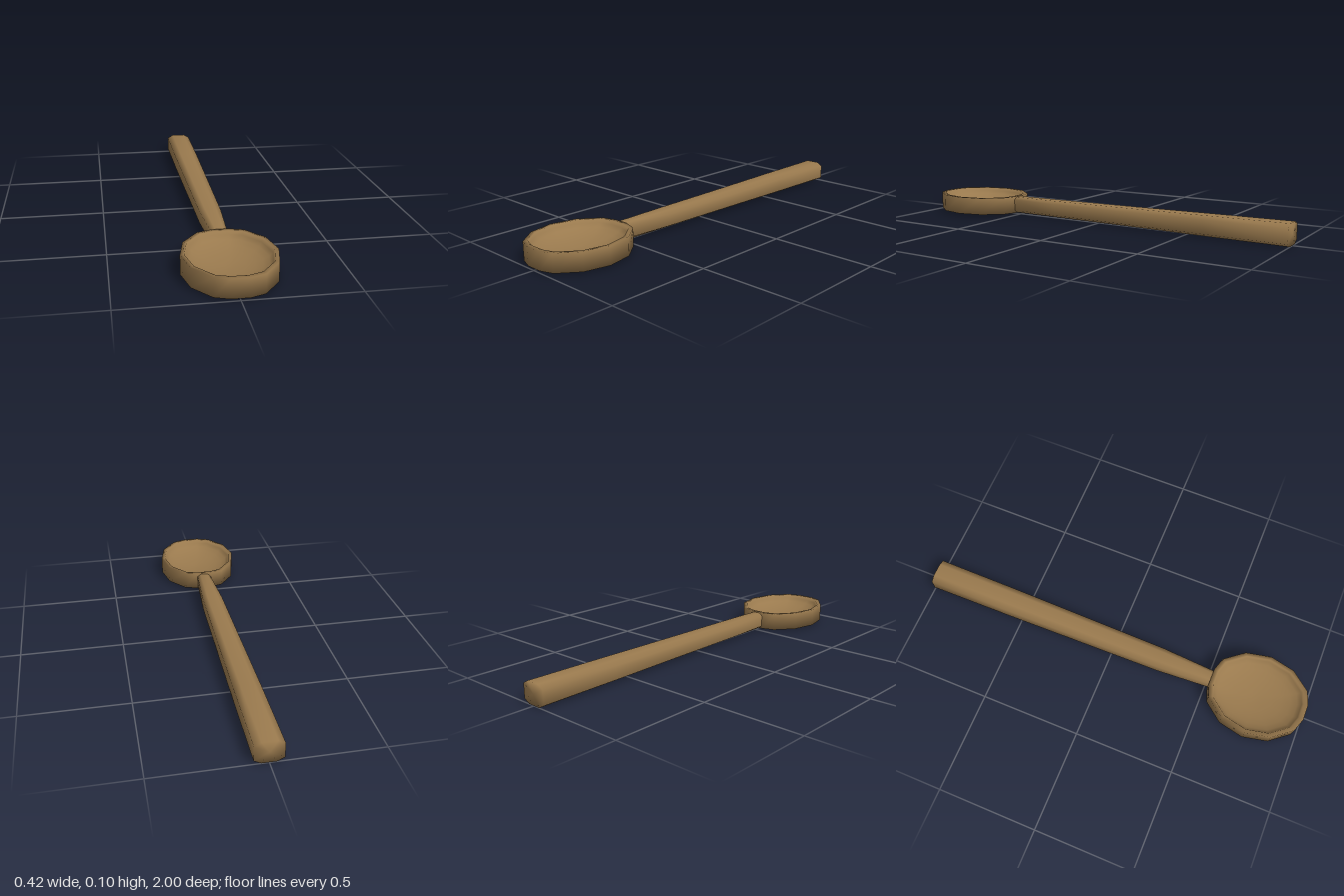
import * as THREE from 'three';

// Smooth closed skin through a list of equal-length rings, capped at both ends.
function loft(rings) {
  const n = rings[0].length, index = [];
  const points = rings.flat();
  const centre = ring => ring.reduce((s, p) => s.add(p), new THREE.Vector3()).divideScalar(n);
  for (let i = 0; i < rings.length - 1; i++) {
    for (let j = 0; j < n; j++) {
      const k = (j + 1) % n;
      const a = i * n + j, b = i * n + k, c = b + n, d = a + n;
      index.push(a, b, c, a, c, d);
    }
  }
  const last = (rings.length - 1) * n, c0 = points.length, c1 = c0 + 1;
  points.push(centre(rings[0]), centre(rings[rings.length - 1]));
  for (let j = 0; j < n; j++) {
    const k = (j + 1) % n;
    index.push(c0, k, j, c1, last + j, last + k);
  }
  const geometry = new THREE.BufferGeometry().setFromPoints(points);
  geometry.setIndex(index);
  geometry.computeVertexNormals();
  return geometry;
}

export function createModel() {
  const group = new THREE.Group();
  const wood = new THREE.MeshStandardMaterial({ color: 0x9a7a4e });
  wood.name = 'wood';

  const add = (name, geometry) => {
    const mesh = new THREE.Mesh(geometry, wood);
    mesh.name = name;
    group.add(mesh);
  };

  // Handle: eight-sided bar that narrows to the neck. [z, half width, half height]
  const stations = [
    [-1, 0.065, 0.052], [-0.6, 0.063, 0.049], [-0.2, 0.058, 0.045],
    [0.25, 0.052, 0.042], [0.525, 0.035, 0.042],
  ];
  const section = [
    [1, -0.68], [1, 0.68], [0.52, 1], [-0.52, 1],
    [-1, 0.68], [-1, -0.68], [-0.52, -1], [0.52, -1],
  ];
  add('handle', loft(stations.map(([z, w, h]) =>
    section.map(([x, y]) => new THREE.Vector3(x * w, 0.053 + y * h, z)))));

  // Bowl: straight-walled oval with a rounded hollow
  const half = [
    [0.04, 0.998], [0.105, 0.975], [0.181, 0.88], [0.208, 0.756],
    [0.181, 0.63], [0.105, 0.535], [0.04, 0.514],
  ];
  const outline = [...half, ...half.map(([x, z]) => [-x, z]).reverse()];
  const ring = (scale, y) => outline.map(([x, z]) =>
    new THREE.Vector3(x * scale, y, 0.756 + (z - 0.756) * scale));
  const rings = [ring(1, 0.01), ring(1, 0.098), ring(0.91, 0.098)];
  for (let i = 1; i <= 6; i++) {
    const t = (i / 6.5) * Math.PI / 2;
    rings.push(ring(0.91 * Math.cos(t), 0.098 - 0.066 * Math.sin(t)));
  }
  add('bowl', loft(rings));

  // Bring the lowest edge to the ground and the ends to z = -1 and 1
  const box = new THREE.Box3().setFromObject(group);
  group.position.set(0, -box.min.y, -(box.min.z + box.max.z) / 2);
  return group;
}
